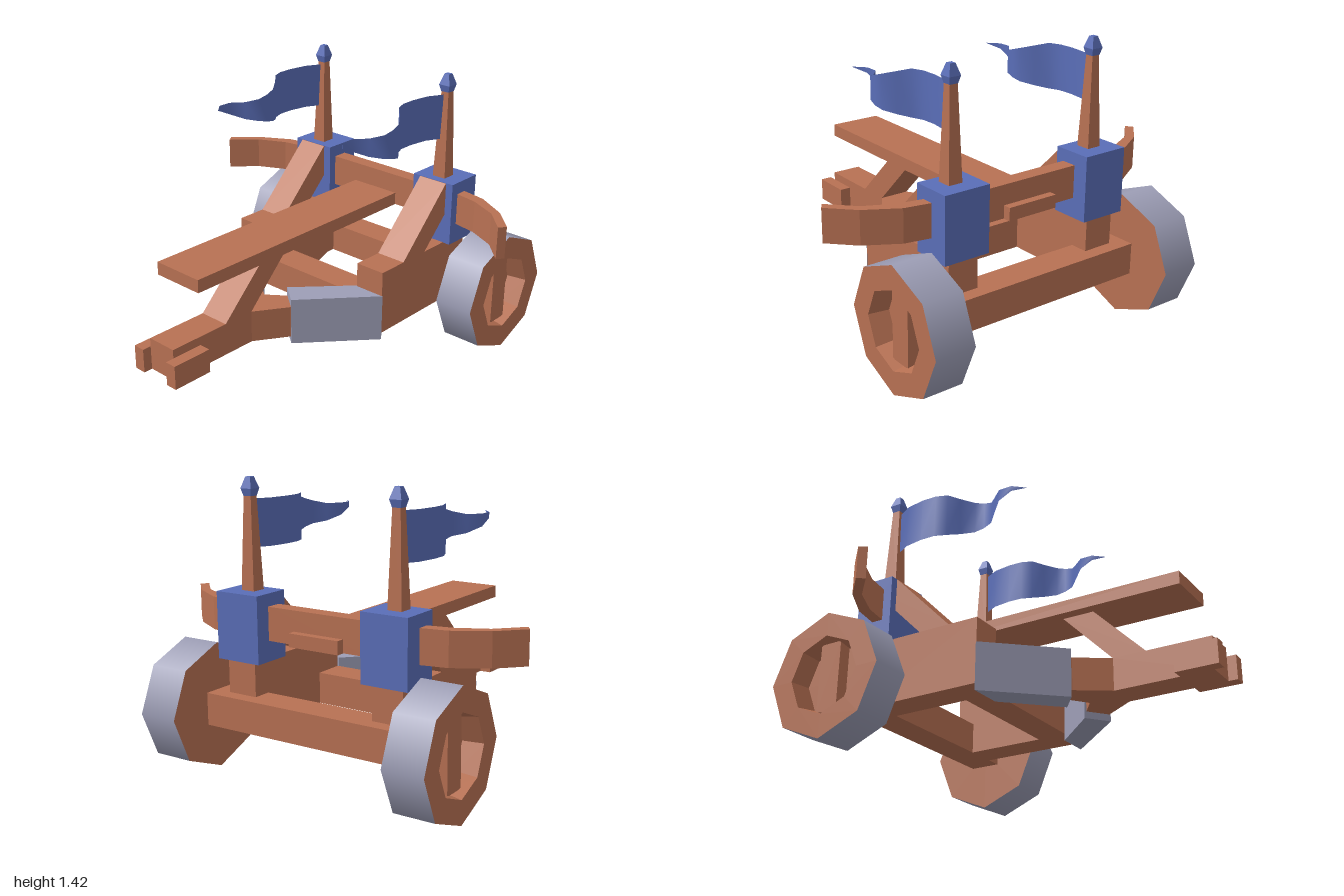
import * as THREE from 'three';

const material = (name, color) => Object.assign(
  new THREE.MeshStandardMaterial({ color, side: THREE.DoubleSide }), { name });
const wood = material('wood', 0xb87153);
const blue = material('blueCloth', 0x5a6eb8);
const grey = material('greyMetal', 0x9d9eb6);

function add(parent, name, geometry, mat) {
  const mesh = new THREE.Mesh(geometry, mat);
  mesh.name = name;
  parent.add(mesh);
  return mesh;
}

// Box given by its limits on each axis
function box([x0, x1], [y0, y1], [z0, z1]) {
  return new THREE.BoxGeometry(x1 - x0, y1 - y0, z1 - z0)
    .translate((x0 + x1) / 2, (y0 + y1) / 2, (z0 + z1) / 2);
}

// Side outline [x, y] extruded from z0 to z1
function sidePrism(points, z0, z1) {
  const shape = new THREE.Shape(points.map(([x, y]) => new THREE.Vector2(x, y)));
  return new THREE.ExtrudeGeometry(shape, { depth: z1 - z0, bevelEnabled: false }).translate(0, 0, z0);
}

// Plan outline [x, z] extruded from y0 to y1
function planPrism(points, y0, y1) {
  const shape = new THREE.Shape(points.map(([x, z]) => new THREE.Vector2(x, -z)));
  return new THREE.ExtrudeGeometry(shape, { depth: y1 - y0, bevelEnabled: false })
    .rotateX(-Math.PI / 2).translate(0, y0, 0);
}

// Faceted lathe
function flatLathe(profile, sides) {
  const geometry = new THREE.LatheGeometry(profile.map(([r, y]) => new THREE.Vector2(r, y)), sides).toNonIndexed();
  geometry.computeVertexNormals();
  return geometry;
}

// Square-section spindle, profile given as [half width, y]
function squareSpindle(profile) {
  return flatLathe(profile.map(([w, y]) => [w * Math.SQRT2, y]), 4).rotateY(Math.PI / 4);
}

const mirrorZ = points => points.map(([x, z]) => [x, -z]);

function makeWheel(side) {
  const wheel = new THREE.Group();
  wheel.name = 'wheel';
  const R = 0.313, h = 0.103;
  add(wheel, 'wheelRim', new THREE.CylinderGeometry(R, R, 2 * h, 8, 1, true), grey);
  add(wheel, 'wheelInnerFace', flatLathe([[0, -h], [R, -h]], 8), wood);
  add(wheel, 'wheelOuterFace', flatLathe([[R, h], [0.195, h], [0.178, h - 0.1], [0, h - 0.1]], 8), wood);
  add(wheel, 'wheelSpoke', box([-0.058, 0.058], [0, 0.065], [-0.17, 0.17]), wood);
  wheel.rotation.x = side * Math.PI / 2;
  wheel.position.set(0.683, 0.315, side * 0.676);
  return wheel;
}

// Waving pennant: columns of [x, wave offset], height narrowing to a tip
function makeFlagGeometry() {
  const columns = [[0.59, 0], [0.5, -0.045], [0.4, -0.06], [0.32, -0.058], [0.26, -0.035], [0.21, 0.01],
    [0.15, 0.053], [0.1, 0.06], [0.05, 0.05], [0, 0], [-0.06, -0.05], [-0.13, -0.05], [-0.185, 0]];
  const positions = [], index = [];
  columns.forEach(([x, wave], i) => {
    let top = 1.32, bottom = 1.09;
    if (x < 0) {
      top = 1.24;
      bottom = THREE.MathUtils.mapLinear(x, 0, -0.185, 1.15, 1.238);
    } else if (x < 0.26) {
      top = THREE.MathUtils.mapLinear(x, 0, 0.26, 1.24, 1.32);
      bottom = THREE.MathUtils.mapLinear(x, 0, 0.26, 1.15, 1.09);
    }
    positions.push(x, top, wave, x, bottom, wave);
    if (i) {
      const a = 2 * i - 2;
      index.push(a, a + 2, a + 1, a + 1, a + 2, a + 3);
    }
  });
  const geometry = new THREE.BufferGeometry();
  geometry.setAttribute('position', new THREE.Float32BufferAttribute(positions, 3));
  geometry.setIndex(index);
  geometry.computeVertexNormals();
  return geometry;
}

export function createModel() {
  const model = new THREE.Group();
  model.name = 'ballista';

  // Chassis: axle, cross beam and forked tail
  add(model, 'axleBeam', box([0.603, 0.765], [0.235, 0.395], [-0.575, 0.575]), wood);
  add(model, 'crossBeam', box([0.03, 0.19], [0.235, 0.395], [-0.335, 0.335]), wood);
  const halfFork = [[-0.955, 0.08], [-0.46, 0.08], [-0.3, 0.185], [0.03, 0.482], [0.03, 0.335], [-0.2, 0.12]];
  add(model, 'forkedTail', planPrism([...halfFork, [-0.29, 0], ...mirrorZ(halfFork).reverse()], 0.235, 0.398), wood);

  // Firing plank and its slanted support
  add(model, 'firingPlank', box([-0.84, 0.68], [0.663, 0.728], [-0.138, 0.138]), wood);
  add(model, 'plankStrut', sidePrism([[-0.63, 0.397], [-0.46, 0.397], [-0.195, 0.665], [-0.36, 0.665]], -0.08, 0.08), wood);

  // Bow with curved-back limbs
  const front = [[0.64, 0.28], [0.625, 0.53], [0.6, 0.66], [0.508, 0.82], [0.39, 0.937]];
  const back = [[0.353, 0.912], [0.472, 0.795], [0.542, 0.65], [0.565, 0.53], [0.562, 0.28]];
  add(model, 'bow', planPrism([...front, ...back, ...mirrorZ(back).reverse(), ...mirrorZ(front).reverse()], 0.664, 0.828), wood);

  const flagGeometry = makeFlagGeometry();
  for (const side of [1, -1]) {
    const span = (a, b) => side > 0 ? [a, b] : [-b, -a];
    const frameZ = span(0.33, 0.49);

    // Side frame and raking brace
    add(model, 'sideFrame', box([0.03, 0.695], [0.235, 0.565], frameZ), wood);
    add(model, 'sideBrace', sidePrism([[0.19, 0.563], [0.36, 0.563], [0.69, 0.888], [0.515, 0.888]], ...frameZ), wood);
    add(model, 'tailCheek', box([-1, -0.79], [0.235, 0.355], span(0.08, 0.14)), wood);

    // Armoured sleeve on the fork
    const sleeve = [[-0.3, 0.193], [0.032, 0.492], [0.032, 0.322], [-0.215, 0.085]];
    add(model, 'forkSleeve', planPrism(side > 0 ? sleeve : mirrorZ(sleeve), 0.2, 0.44), grey);

    // Corner tower, pole, finial and pennant
    add(model, 'cornerTower', box([0.518, 0.72], [0.563, 0.89], span(0.287, 0.53)), blue);
    add(model, 'flagPole', squareSpindle([[0.037, 0.885], [0.021, 1.34]]), wood).position.set(0.6, 0, side * 0.41);
    add(model, 'poleFinial', squareSpindle([[0, 1.335], [0.022, 1.335], [0.031, 1.37], [0.014, 1.424], [0, 1.424]]), blue)
      .position.set(0.6, 0, side * 0.41);
    add(model, 'pennant', flagGeometry, blue).position.z = side * 0.41;

    model.add(makeWheel(side));
  }
  return model;
}
